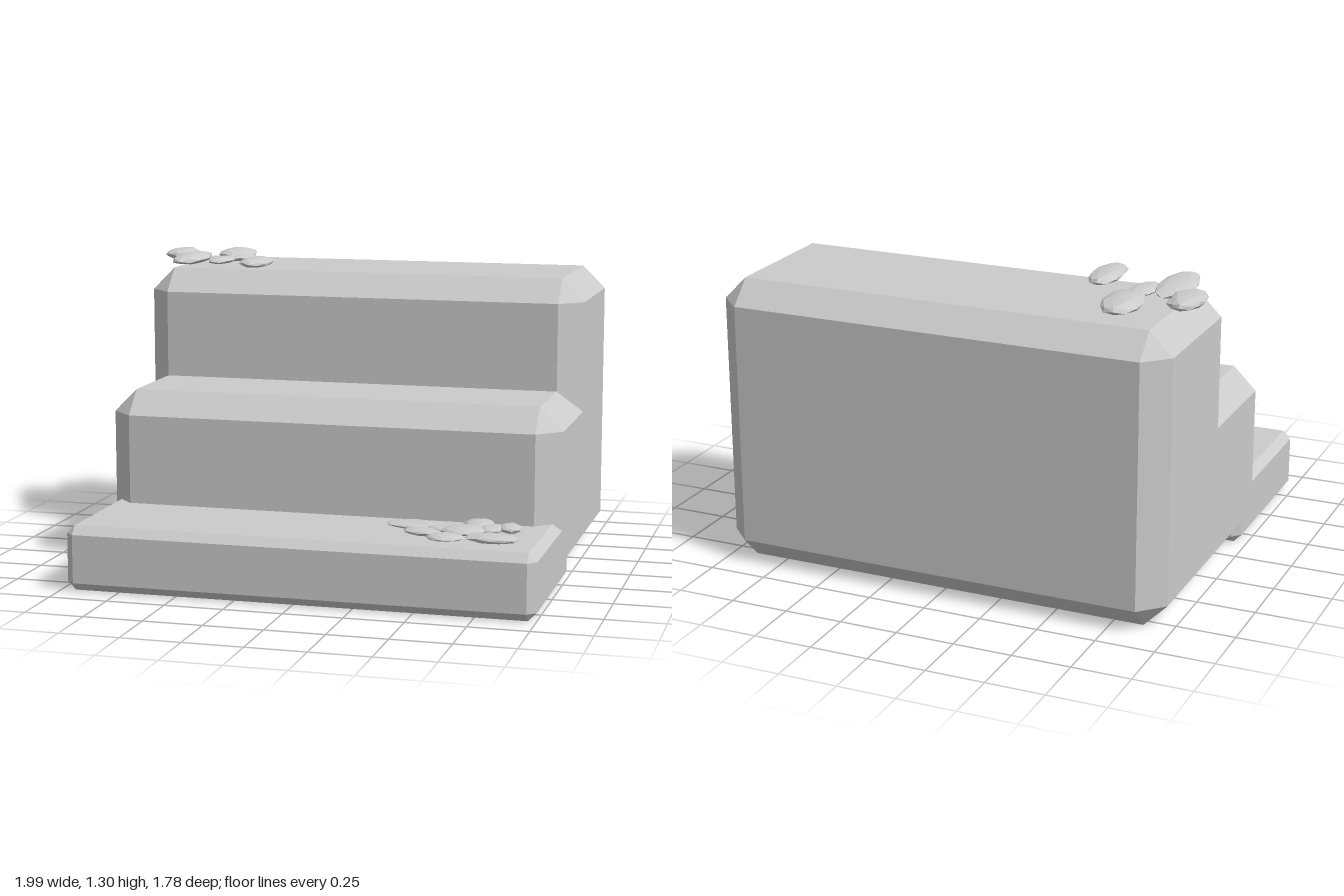
import * as THREE from 'three';
import { ConvexGeometry } from 'three/addons/geometries/ConvexGeometry.js';

const material = new THREE.MeshStandardMaterial({ color: 0xcccccc, flatShading: true });

// Box between two corners with every edge chamfered by c
function chamferBox(min, max, c) {
  const points = [];
  for (const sx of [0, 1]) for (const sy of [0, 1]) for (const sz of [0, 1]) {
    const s = [sx, sy, sz];
    for (let face = 0; face < 3; face++) {
      const p = s.map((k, i) => {
        const inset = i === face ? 0 : c;
        return k ? max[i] - inset : min[i] + inset;
      });
      points.push(new THREE.Vector3(...p));
    }
  }
  return new ConvexGeometry(points);
}

// Flat faceted leaf; the jitter depends on position so shared corners stay joined
function leafGeometry(rx, ry, rz, seed) {
  const geo = new THREE.IcosahedronGeometry(1, 1);
  const pos = geo.attributes.position;
  const v = new THREE.Vector3();
  for (let i = 0; i < pos.count; i++) {
    v.fromBufferAttribute(pos, i);
    const h = Math.sin(v.x * 12.9 + v.y * 78.2 + v.z * 37.7 + seed * 4.1);
    v.multiplyScalar(1 + 0.06 * h);
    v.y = THREE.MathUtils.clamp(v.y, -0.8, 1);
    pos.setXYZ(i, v.x * rx, v.y * ry, v.z * rz);
  }
  geo.computeVertexNormals();
  return geo;
}

function leafCluster(name, leaves) {
  const group = new THREE.Group();
  group.name = name;
  leaves.forEach(([x, y, z, rx, ry, rz, turn], i) => {
    const leaf = new THREE.Mesh(leafGeometry(rx, ry, rz, i + 1), material);
    leaf.name = 'leaf' + (i + 1);
    leaf.position.set(x, y, z);
    leaf.rotation.y = turn;
    group.add(leaf);
  });
  return group;
}

export function createModel() {
  const model = new THREE.Group();
  model.name = 'steps';

  // Three overlapping blocks: name, height, back z, front z, chamfer
  const blocks = [
    ['lowerStep', 0.275, 0.12, 0.89, 0.035],
    ['middleStep', 0.76, -0.385, 0.385, 0.1],
    ['upperStep', 1.24, -0.89, -0.12, 0.1],
  ];
  for (const [name, height, back, front, chamfer] of blocks) {
    const step = new THREE.Mesh(
      chamferBox([-0.975, 0, back], [1, height, front], chamfer), material);
    step.name = name;
    model.add(step);
  }

  // Leaves: x, y, z, radii x y z, turn about y
  model.add(leafCluster('upperLeaves', [
    [-0.92, 1.278, -0.48, 0.076, 0.027, 0.13, 0.05],
    [-0.815, 1.278, -0.30, 0.076, 0.027, 0.19, 0.02],
    [-0.69, 1.275, -0.59, 0.085, 0.026, 0.155, 0.1],
    [-0.645, 1.265, -0.51, 0.055, 0.016, 0.11, -0.1],
    [-0.695, 1.265, -0.37, 0.052, 0.018, 0.11, -0.1],
    [-0.49, 1.273, -0.24, 0.068, 0.022, 0.155, 0.05],
  ]));
  model.add(leafCluster('lowerLeaves', [
    [0.42, 0.284, 0.51, 0.12, 0.012, 0.078, -0.1],
    [0.69, 0.295, 0.48, 0.06, 0.018, 0.077, 0.1],
    [0.76, 0.293, 0.55, 0.05, 0.016, 0.065, -0.4],
    [0.83, 0.295, 0.53, 0.048, 0.018, 0.07, 0.2],
    [0.65, 0.295, 0.61, 0.088, 0.019, 0.08, 0.3],
    [0.56, 0.287, 0.575, 0.07, 0.013, 0.045, -0.3],
    [0.49, 0.287, 0.65, 0.085, 0.014, 0.05, -0.2],
    [0.60, 0.290, 0.73, 0.074, 0.016, 0.064, 0],
    [0.79, 0.293, 0.72, 0.112, 0.018, 0.064, 0],
  ]));
  return model;
}
